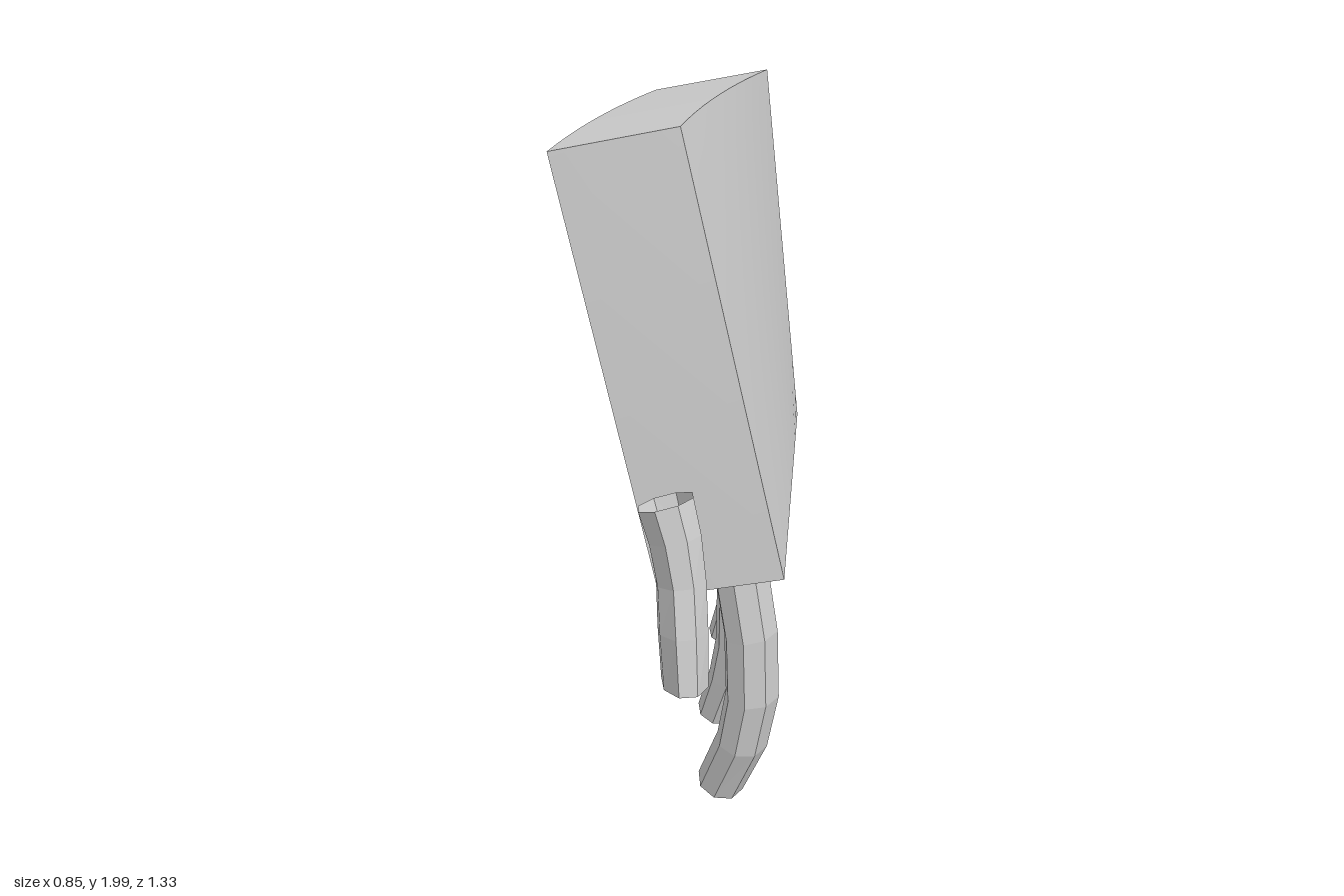
import * as THREE from 'three';

// Open tube lofted through rings [x, y, z, wideRadius, thinRadius]
function loft(name, rings, wide, sides = 8) {
  const path = rings.map(r => new THREE.Vector3(r[0], r[1], r[2]));
  const pos = [], idx = [];
  rings.forEach((r, i) => {
    const t = path[Math.min(i + 1, path.length - 1)].clone().sub(path[Math.max(i - 1, 0)]).normalize();
    const a = wide.clone().addScaledVector(t, -wide.dot(t)).normalize();
    const b = t.clone().cross(a);
    for (let s = 0; s < sides; s++) {
      const w = (s + 0.5) / sides * Math.PI * 2;
      const p = path[i].clone().addScaledVector(a, Math.cos(w) * r[3]).addScaledVector(b, Math.sin(w) * r[4]);
      pos.push(p.x, p.y, p.z);
      if (i === 0) continue;
      const n = (s + 1) % sides, lo = (i - 1) * sides, hi = i * sides;
      idx.push(lo + s, lo + n, hi + n, lo + s, hi + n, hi + s);
    }
  });
  const geo = new THREE.BufferGeometry();
  geo.setAttribute('position', new THREE.Float32BufferAttribute(pos, 3));
  geo.setIndex(idx);
  geo.computeVertexNormals();
  const mesh = new THREE.Mesh(geo, new THREE.MeshStandardMaterial({
    color: 0xcccccc, flatShading: true, side: THREE.DoubleSide,
  }));
  mesh.name = name;
  return mesh;
}

// Twisted, tapered block: a box remapped between eight corners
function makePalm() {
  const v = (x, y, z) => new THREE.Vector3(x, y, z);
  const bottom = [v(-0.425, 0.83, -0.51), v(-0.13, 0.885, -0.67), v(0.15, 0.83, 0.47), v(0.42, 0.885, 0.3)];
  const top = [v(-0.385, 1.945, -0.28), v(-0.13, 2, -0.46), v(-0.145, 1.945, 0.49), v(0.105, 2, 0.295)];
  const blend = (c, u, w) => c[0].clone().lerp(c[1], u).lerp(c[2].clone().lerp(c[3], u), w);
  const geo = new THREE.BoxGeometry(1, 1, 1, 8, 10, 10);
  const p = geo.attributes.position;
  for (let i = 0; i < p.count; i++) {
    const u = p.getX(i) + 0.5, h = p.getY(i) + 0.5, w = p.getZ(i) + 0.5;
    const q = blend(bottom, u, w).lerp(blend(top, u, w), h);
    q.x -= 0.1 * w * (1 - w) * h; // slight bow towards the top
    p.setXYZ(i, q.x, q.y, q.z);
  }
  geo.computeVertexNormals();
  const mesh = new THREE.Mesh(geo, new THREE.MeshStandardMaterial({ color: 0xcccccc }));
  mesh.name = 'palm';
  return mesh;
}

export function createModel() {
  const hand = new THREE.Group();
  hand.name = 'hand';
  hand.add(makePalm());

  // Fingers, each curling back towards -x at the tip
  const across = new THREE.Vector3(0, 0, 1);
  hand.add(loft('indexFinger', [
    [0.13, 0.89, 0.11, 0.085, 0.07], [0.165, 0.76, 0.11, 0.088, 0.073], [0.2, 0.57, 0.11, 0.088, 0.073],
    [0.207, 0.37, 0.11, 0.09, 0.073], [0.178, 0.21, 0.115, 0.087, 0.072], [0.103, 0.035, 0.115, 0.077, 0.069],
  ], across));
  hand.add(loft('middleFinger', [
    [-0.015, 0.89, -0.11, 0.072, 0.069], [0.005, 0.76, -0.11, 0.076, 0.071], [0.022, 0.58, -0.112, 0.076, 0.071],
    [0.018, 0.37, -0.112, 0.076, 0.071], [-0.01, 0.24, -0.11, 0.073, 0.067], [-0.058, 0.1, -0.108, 0.067, 0.062],
  ], across));
  hand.add(loft('ringFinger', [
    [-0.175, 0.89, -0.39, 0.06, 0.066], [-0.16, 0.76, -0.393, 0.075, 0.069], [-0.15, 0.6, -0.398, 0.081, 0.069],
    [-0.155, 0.42, -0.398, 0.081, 0.068], [-0.172, 0.31, -0.395, 0.075, 0.064], [-0.21, 0.185, -0.39, 0.065, 0.061],
  ], across));
  hand.add(loft('littleFinger', [
    [-0.33, 0.87, -0.515, 0.05, 0.058], [-0.322, 0.75, -0.515, 0.058, 0.06], [-0.316, 0.63, -0.518, 0.06, 0.06],
    [-0.322, 0.5, -0.518, 0.06, 0.06], [-0.333, 0.42, -0.518, 0.057, 0.056], [-0.355, 0.33, -0.518, 0.05, 0.053],
  ], across));

  // Thumb, flattened along a diagonal
  hand.add(loft('thumb', [
    [0.21, 1.135, 0.52, 0.095, 0.075], [0.24, 1.05, 0.525, 0.09, 0.07], [0.265, 0.94, 0.535, 0.09, 0.065],
    [0.283, 0.82, 0.555, 0.1, 0.065], [0.3, 0.68, 0.573, 0.11, 0.06],
  ], new THREE.Vector3(0.65, 0, 0.76)));

  return hand;
}
